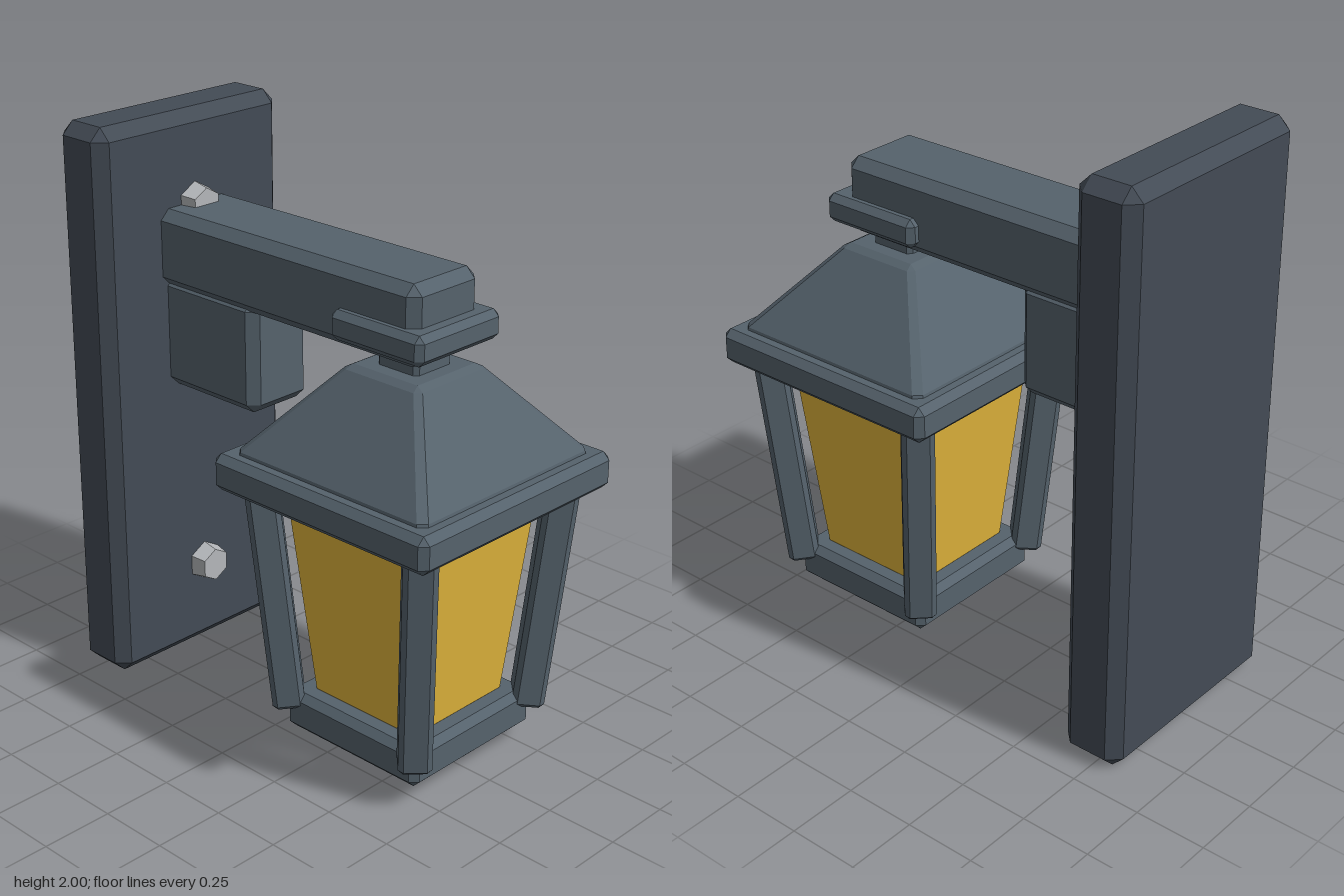
import * as THREE from 'three';
import { ConvexGeometry } from 'three/addons/geometries/ConvexGeometry.js';

const mat = (color) => new THREE.MeshStandardMaterial({ color, flatShading: true, roughness: 0.8 });

// Convex solid from stacked rectangular rings [y, halfX, halfZ, cornerCut]
function ringSolid(rings) {
  const pts = [];
  for (const [y, hx, hz, cut] of rings) {
    for (const sx of [-1, 1]) for (const sz of [-1, 1]) {
      pts.push(new THREE.Vector3(sx * hx, y, sz * (hz - cut)));
      if (cut > 0) pts.push(new THREE.Vector3(sx * (hx - cut), y, sz * hz));
    }
  }
  return new ConvexGeometry(pts);
}

// Box with every edge chamfered, centred on the origin
function chamferBox(w, h, d, c) {
  const x = w / 2, y = h / 2, z = d / 2;
  return ringSolid([
    [-y, x - c, z - c, 0], [-y + c, x, z, c],
    [y - c, x, z, c], [y, x - c, z - c, 0],
  ]);
}

export function createModel() {
  const model = new THREE.Group();
  model.name = 'wallLantern';
  const steel = mat(0x55626c), plate = mat(0x434b55), amber = mat(0xe0b43c), boltGrey = mat(0xb4b7ba);

  const add = (parent, name, geometry, material, x = 0, y = 0, z = 0) => {
    const mesh = new THREE.Mesh(geometry, material);
    mesh.name = name;
    mesh.position.set(x, y, z);
    parent.add(mesh);
    return mesh;
  };
  // Chamfered box given by its y and z extents
  const block = (name, material, hx, y0, y1, z0, z1, c) =>
    add(model, name, chamferBox(hx * 2, y1 - y0, z1 - z0, c), material, 0, (y0 + y1) / 2, (z0 + z1) / 2);

  // Wall mount and arm
  block('wallPlate', plate, 0.408, 0, 2, -0.842, -0.617, 0.043);
  block('arm', steel, 0.156, 1.417, 1.685, -0.66, 0.52, 0.035);
  block('armBracket', steel, 0.135, 1.05, 1.45, -0.66, -0.205, 0.035);
  block('armCollar', steel, 0.194, 1.45, 1.55, 0.193, 0.578, 0.022);

  // Hex bolts on the wall plate
  for (const y of [0.327, 1.682]) {
    const bolt = add(model, 'bolt', new THREE.CylinderGeometry(0.061, 0.076, 0.07, 6), boltGrey, 0, y, -0.594);
    bolt.rotation.x = Math.PI / 2;
  }

  // Hanging lantern, centred under the collar
  const lantern = new THREE.Group();
  lantern.name = 'lantern';
  lantern.position.z = 0.385;
  model.add(lantern);

  add(lantern, 'neck', chamferBox(0.17, 0.16, 0.17, 0.015), steel, 0, 1.4, 0);
  add(lantern, 'roof', ringSolid([
    [1.05, 0.405, 0.405, 0.025], [1.075, 0.4, 0.4, 0.025],
    [1.355, 0.162, 0.162, 0.02], [1.37, 0.135, 0.135, 0],
  ]), steel);
  add(lantern, 'eave', chamferBox(0.912, 0.128, 0.912, 0.025), steel, 0, 1.001, 0);
  add(lantern, 'glass', ringSolid([
    [0.185, 0.205, 0.205, 0], [0.205, 0.223, 0.223, 0.012],
    [0.902, 0.288, 0.288, 0.012], [0.922, 0.272, 0.272, 0],
  ]), amber);
  add(lantern, 'base', chamferBox(0.588, 0.142, 0.588, 0.025), steel, 0, 0.131, 0);

  // Corner posts: diagonal square bars leaning outward to the eave
  const postGeometry = chamferBox(0.11, 0.84, 0.11, 0.017);
  const lean = Math.atan(0.075 * Math.SQRT2);
  for (let i = 0; i < 4; i++) {
    const corner = new THREE.Group();
    corner.name = 'cornerPost';
    corner.rotation.y = Math.PI / 4 + i * Math.PI / 2;
    lantern.add(corner);
    const post = add(corner, 'post', postGeometry, steel, 0, 0.562, 0.313 * Math.SQRT2);
    post.rotation.x = lean;
  }
  return model;
}
